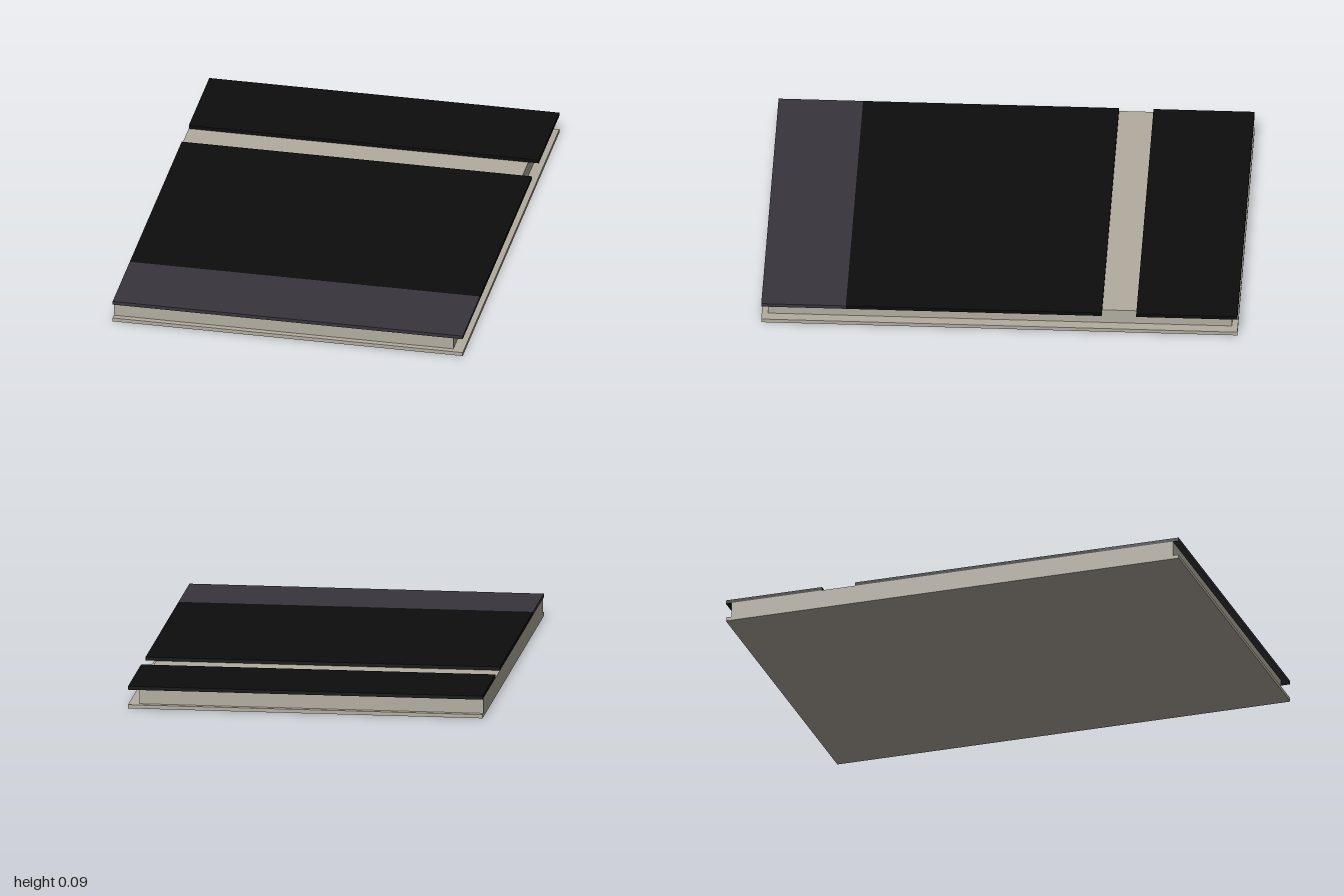
import * as THREE from 'three';

export function createModel() {
  const group = new THREE.Group();
  const material = (name, color) => {
    const m = new THREE.MeshStandardMaterial({ color });
    m.name = name;
    return m;
  };
  const paper = material('paper beige', 0xb3ada0);
  const black = material('cover black', 0x0d0d0d);
  const slate = material('slate grey', 0x37353c);

  // Box given by its limits on each axis
  const slab = (name, mat, [x0, x1], [y0, y1], [z0, z1]) => {
    const mesh = new THREE.Mesh(new THREE.BoxGeometry(x1 - x0, y1 - y0, z1 - z0), mat);
    mesh.position.set((x0 + x1) / 2, (y0 + y1) / 2, (z0 + z1) / 2);
    mesh.name = name;
    group.add(mesh);
  };

  const width = [-0.75, 0.75];
  const coverHeight = [0.08, 0.095];

  // Back cover, and page block flush with the spine side
  slab('backCover', paper, width, [0, 0.016], [-1, 1]);
  slab('pageBlock', paper, [-0.75, 0.705], [0.016, 0.08], [-0.975, 0.975]);

  // Front cover in three bands, with a gap that shows the pages
  slab('upperCoverBand', black, width, coverHeight, [-1, -0.575]);
  slab('middleCoverBand', black, width, coverHeight, [-0.43, 0.645]);
  slab('lowerCoverBand', slate, width, coverHeight, [0.645, 1]);

  return group;
}
